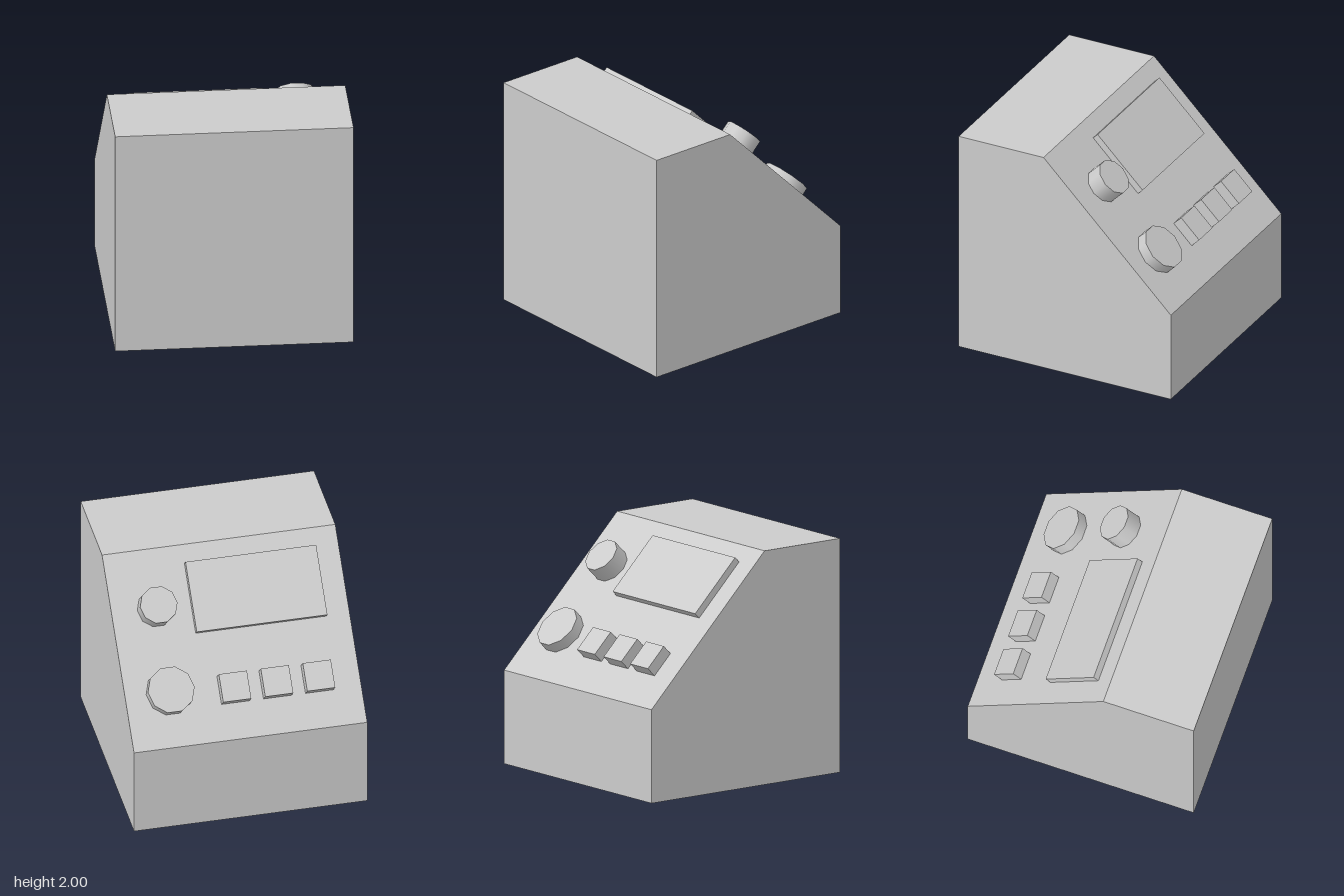
import * as THREE from 'three';

export function createModel() {
  const model = new THREE.Group();
  model.name = 'controlConsole';
  const grey = new THREE.MeshStandardMaterial({ color: 0xcccccc });
  grey.name = 'light grey';

  const add = (parent, name, geometry, x = 0, y = 0, z = 0) => {
    const mesh = new THREE.Mesh(geometry, grey);
    mesh.name = name;
    mesh.position.set(x, y, z);
    parent.add(mesh);
  };

  // Cabinet: side profile (z, y) extruded across the width
  const profile = new THREE.Shape(
    [[1, 0], [1, 2], [0.2, 2], [-1, 0.8], [-1, 0]].map(([z, y]) => new THREE.Vector2(z, y))
  );
  const cabinet = new THREE.ExtrudeGeometry(profile, { depth: 2, bevelEnabled: false });
  cabinet.rotateY(-Math.PI / 2).translate(1, 0, 0);
  add(model, 'cabinet', cabinet);

  // Sloped panel frame: local y points out of the slope, local z runs up it
  const panel = new THREE.Group();
  panel.name = 'controlPanel';
  panel.position.y = 1.8;
  panel.rotation.x = -Math.PI / 4;
  model.add(panel);

  // Screen plate
  add(panel, 'screen', new THREE.BoxGeometry(1.12, 0.06, 0.6), -0.24, 0.03, -0.177);

  // Row of square buttons
  for (let i = 0; i < 3; i++) {
    add(panel, `button${i + 1}`, new THREE.BoxGeometry(0.24, 0.1, 0.24), -0.64 + i * 0.36, 0.05, -0.983);
  }

  // Ten-sided knobs with corners on the x axis
  const knob = (name, radius, height, z) => {
    const geometry = new THREE.CylinderGeometry(radius, radius, height, 10).rotateY(Math.PI / 2);
    add(panel, name, geometry, 0.62, height / 2, z);
  };
  knob('largeKnob', 0.2, 0.1, -0.94);
  knob('smallKnob', 0.16, 0.156, -0.223);

  return model;
}
